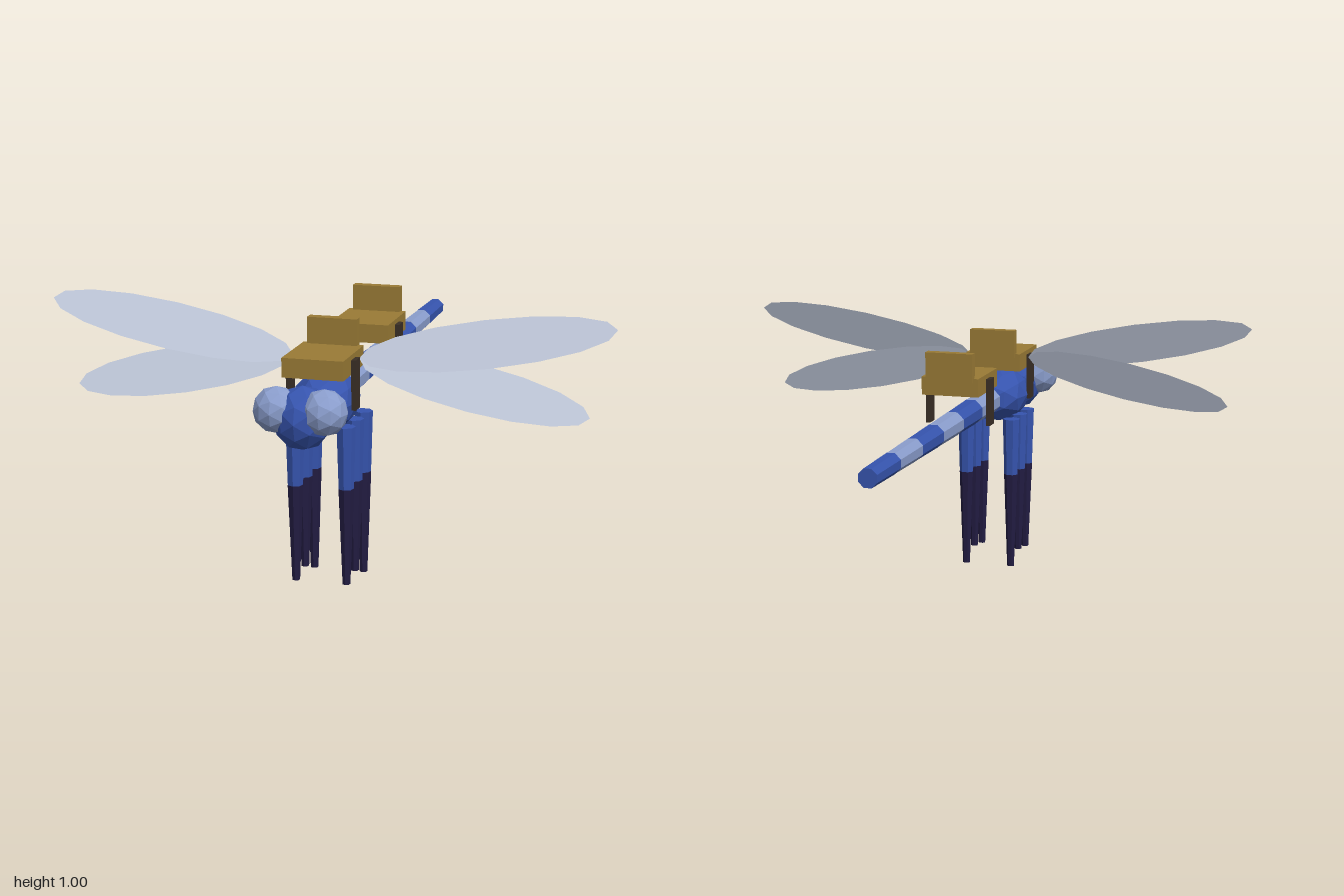
import * as THREE from 'three';

const mat = (name, color, side = THREE.FrontSide) => {
  const m = new THREE.MeshStandardMaterial({ color, flatShading: true, side });
  m.name = name;
  return m;
};

export function createModel() {
  const model = new THREE.Group();
  model.name = 'saddledDragonfly';

  const blue = mat('bodyBlue', 0x3654ae);
  const paleBlue = mat('paleBlue', 0x8a9dcc);
  const navy = mat('darkNavy', 0x221c42);
  const gold = mat('saddleTan', 0x9a7b36);
  const strapBrown = mat('strapBrown', 0x3a2f26);
  const wingGrey = mat('wingGrey', 0xccd5e8, THREE.DoubleSide);

  const add = (name, geometry, material, x = 0, y = 0, z = 0, parent = model) => {
    const mesh = new THREE.Mesh(geometry, material);
    mesh.name = name;
    mesh.position.set(x, y, z);
    parent.add(mesh);
    return mesh;
  };
  const blob = (rx, ry, rz) => new THREE.IcosahedronGeometry(1, 1).scale(rx, ry, rz);

  // Head, eyes and thorax
  add('head', blob(0.1, 0.11, 0.11), blue, 0, 0.67, 0.872);
  add('thorax', blob(0.115, 0.108, 0.165), blue, 0, 0.665, 0.6);
  for (const s of [-1, 1]) add('eye', blob(0.08, 0.08, 0.08), paleBlue, s * 0.083, 0.7, 0.9);

  // Banded, gently tapering abdomen
  const count = 6, start = 0.44, step = 1.425 / count;
  for (let i = 0; i < count; i++) {
    const front = 0.052 - i * 0.0026;
    const segment = new THREE.CylinderGeometry(front, front - 0.0035, step, 8)
      .rotateY(Math.PI / 8).rotateX(Math.PI / 2);
    add('abdomenSegment', segment, i % 2 ? blue : paleBlue, 0, 0.665, start - (i + 0.5) * step);
  }

  // Six two-part legs
  const legs = [[0.675, 0.03], [0.567, 0.045], [0.455, 0.003]];
  for (const s of [-1, 1]) {
    for (const [z, foot] of legs) {
      const leg = new THREE.Group();
      leg.name = 'leg';
      leg.position.set(s * 0.091, 0, z);
      model.add(leg);
      add('upperLeg', new THREE.CylinderGeometry(0.034, 0.027, 0.23, 7), blue, 0, 0.48, 0, leg);
      const length = 0.375 - foot;
      add('lowerLeg', new THREE.CylinderGeometry(0.028, 0.014, length, 7), navy,
        0, foot + length / 2, 0, leg);
    }
  }

  // Flat elliptical wings, leaning back along the chord
  const wings = [['upperWing', 0.893, 0.169], ['lowerWing', 0.81, -0.193]];
  for (const s of [-1, 1]) {
    for (const [name, length, angle] of wings) {
      const geometry = new THREE.CircleGeometry(1, 16)
        .scale(length / 2, 0.083, 1)
        .translate(length / 2, 0, 0)
        .rotateX(-0.36)
        .rotateZ(angle);
      if (s < 0) geometry.rotateY(Math.PI).scale(1, 1, -1);
      add(name, geometry, wingGrey, s * 0.118, 0.817, 0.6);
    }
  }

  // Two saddles with backrests and side straps
  for (const z of [0.636, 0.058]) {
    const saddle = new THREE.Group();
    saddle.name = 'saddle';
    saddle.position.z = z;
    model.add(saddle);
    add('seat', new THREE.BoxGeometry(0.216, 0.068, 0.254), gold, 0, 0.808, 0, saddle);
    add('backrest', new THREE.BoxGeometry(0.178, 0.108, 0.036), gold, 0, 0.881, -0.125, saddle);
    for (const s of [-1, 1]) {
      add('strap', new THREE.BoxGeometry(0.016, 0.175, 0.054), strapBrown, s * 0.116, 0.737, 0.003, saddle);
    }
  }
  return model;
}
